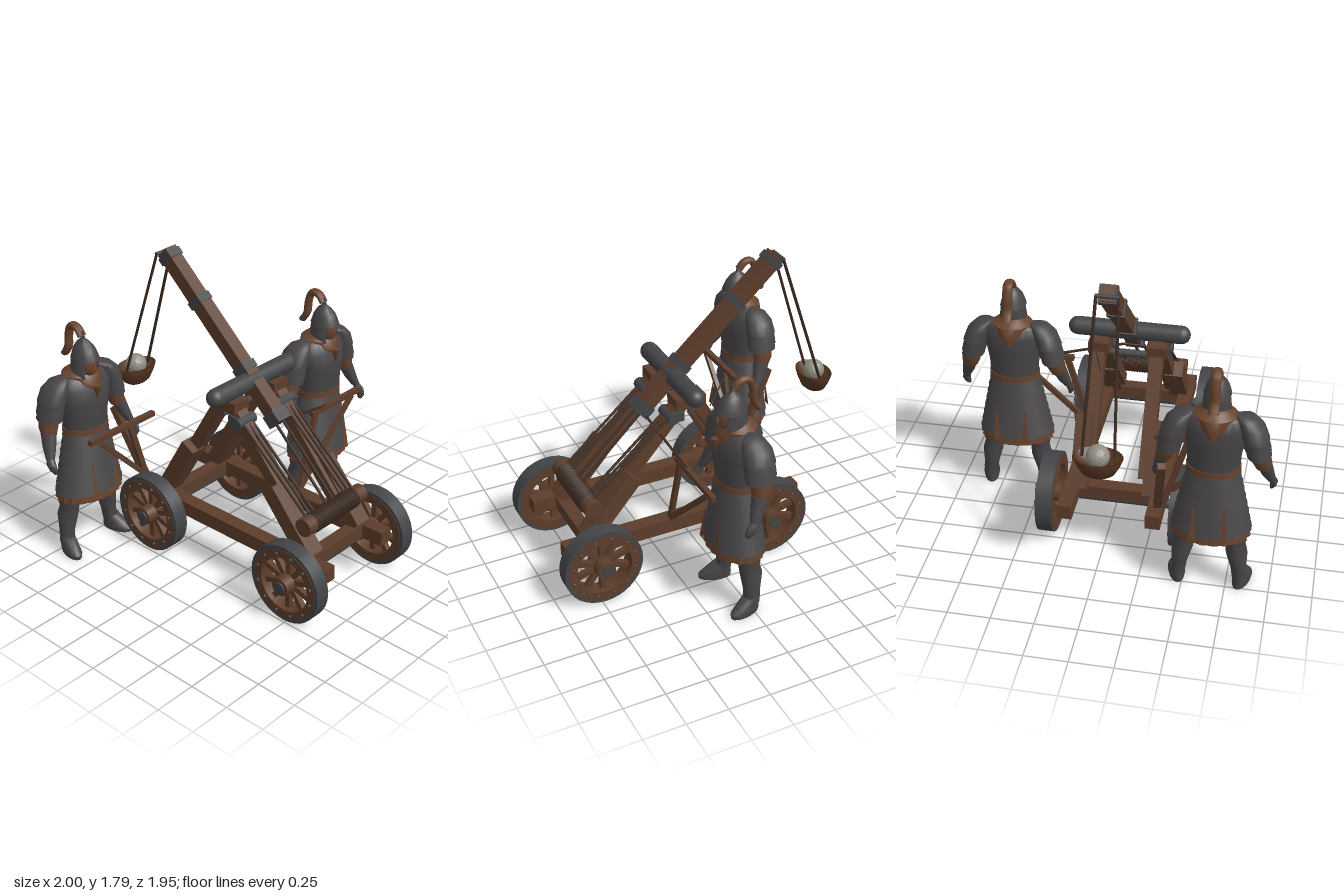
import * as THREE from 'three';
import { toCreasedNormals } from 'three/addons/utils/BufferGeometryUtils.js';

const mat = (name, color, side = THREE.FrontSide) => {
  const m = new THREE.MeshStandardMaterial({ color, side });
  m.name = name;
  return m;
};
const V = (p) => new THREE.Vector3(...p);

export function createModel() {
  const wood = mat('wood', 0x5c3d2b), rope = mat('rope', 0x3b2a20), iron = mat('iron', 0x434447);
  const armour = mat('armour', 0x474446, THREE.DoubleSide), leather = mat('leather', 0x68432d, THREE.DoubleSide);
  const skin = mat('skin', 0x6a4632), stone = mat('stone', 0x918f84), bowlWood = mat('bowl wood', 0x553522, THREE.DoubleSide);

  const add = (parent, name, geo, m, pos = [0, 0, 0]) => {
    const mesh = new THREE.Mesh(geo, m);
    mesh.name = name;
    mesh.position.set(...pos);
    parent.add(mesh);
    return mesh;
  };
  const group = (parent, name, pos = [0, 0, 0]) => {
    const g = new THREE.Group();
    g.name = name;
    g.position.set(...pos);
    parent.add(g);
    return g;
  };
  // square timber and round rod between two points
  const beam = (parent, name, a, b, w, h, m = wood) => {
    const mesh = new THREE.Mesh(new THREE.BoxGeometry(w, h, V(a).distanceTo(V(b))), m);
    mesh.name = name;
    mesh.position.copy(V(a).lerp(V(b), 0.5));
    mesh.lookAt(V(b));
    parent.add(mesh);
    return mesh;
  };
  const rod = (parent, name, a, b, r, m, sides = 8) => {
    const d = V(b).sub(V(a));
    const mesh = add(parent, name, new THREE.CylinderGeometry(r, r, d.length(), sides), m, V(a).lerp(V(b), 0.5).toArray());
    mesh.quaternion.setFromUnitVectors(new THREE.Vector3(0, 1, 0), d.normalize());
    return mesh;
  };
  // skin over horizontal elliptical rings [x, y, z, rx, rz], listed bottom to top
  const loft = (rings, sides = 20, ripple = 0) => {
    const pos = [], idx = [], n = rings.length;
    for (const [x, y, z, rx, rz] of rings)
      for (let j = 0; j < sides; j++) {
        const a = (j / sides) * Math.PI * 2, k = 1 + ripple * (j % 2 ? 1 : -1);
        pos.push(x + Math.cos(a) * rx * k, y, z + Math.sin(a) * rz * k);
      }
    for (let i = 0; i < n - 1; i++)
      for (let j = 0; j < sides; j++) {
        const p = i * sides + j, q = i * sides + ((j + 1) % sides);
        idx.push(p, p + sides, q, q, p + sides, q + sides);
      }
    for (const e of [0, n - 1]) {
      const c = pos.length / 3;
      pos.push(rings[e][0], rings[e][1], rings[e][2]);
      for (let j = 0; j < sides; j++) {
        const p = e * sides + j, q = e * sides + ((j + 1) % sides);
        e ? idx.push(c, q, p) : idx.push(c, p, q);
      }
    }
    const g = new THREE.BufferGeometry();
    g.setAttribute('position', new THREE.Float32BufferAttribute(pos, 3));
    g.setIndex(idx);
    return toCreasedNormals(g, 0.75);
  };
  // rectangular ring about y
  const ring = (r0, r1, h) => toCreasedNormals(new THREE.LatheGeometry(
    [[r0, -h], [r1, -h], [r1, h], [r0, h], [r0, -h]].map(([x, y]) => new THREE.Vector2(x, y)), 36), 0.6);

  const model = new THREE.Group();
  model.name = 'siegeEngine';
  const X = -0.045; // centre line of the engine

  // wheels: local y is the axle, pointing outwards
  for (const s of [-1, 1]) for (const z of [0.73, -0.36]) {
    const w = group(model, 'wheel', [X + s * 0.393, 0.242, z]);
    w.rotation.z = -s * Math.PI / 2;
    add(w, 'tyre', ring(0.205, 0.242, 0.047), iron);
    add(w, 'rim', ring(0.17, 0.222, 0.05), wood);
    add(w, 'hub', new THREE.CylinderGeometry(0.055, 0.062, 0.15, 16), wood, [0, 0.01, 0]);
    add(w, 'hubCap', new THREE.CylinderGeometry(0.035, 0.035, 0.17, 12), iron, [0, 0.01, 0]);
    for (let i = 0; i < 10; i++) {
      const a = (i / 10) * Math.PI * 2, c = Math.cos(a), d = Math.sin(a);
      beam(w, 'spoke', [c * 0.04, 0, d * 0.04], [c * 0.18, 0, d * 0.18], 0.032, 0.035);
    }
    for (let i = 0; i < 12; i++) {
      const a = (i / 12 + 0.04) * Math.PI * 2;
      add(w, 'stud', new THREE.SphereGeometry(0.01, 8, 6), iron, [Math.cos(a) * 0.197, 0.052, Math.sin(a) * 0.197]);
    }
  }

  // chassis
  const frame = group(model, 'frame');
  for (const z of [0.73, -0.36]) {
    rod(frame, 'axle', [X - 0.38, 0.242, z], [X + 0.38, 0.242, z], 0.028, iron, 14);
    beam(frame, 'crossBeam', [X - 0.24, 0.295, z], [X + 0.24, 0.295, z], 0.08, 0.08);
  }
  for (const s of [-1, 1]) {
    const x0 = X + s * 0.26, x1 = X + s * 0.215, x2 = X + s * 0.172;
    beam(frame, 'sideRail', [x0, 0.295, 0.91], [x0, 0.295, -0.62], 0.088, 0.09);
    beam(frame, 'frontStrutFoot', [x1, 0.33, 0.74], [x1, 0.67, 0.45], 0.11, 0.1);
    beam(frame, 'frontStrut', [x2, 0.4, 0.68], [x2, 1.1, 0.07], 0.08, 0.075);
    beam(frame, 'rearStrutFoot', [x1, 0.32, -0.4], [x1, 0.7, -0.18], 0.1, 0.1);
    beam(frame, 'rearStrut', [x2, 0.4, -0.35], [x2, 1.1, 0.06], 0.08, 0.075);
    beam(frame, 'headBlock', [x2, 1.06, 0.17], [x2, 1.06, -0.02], 0.12, 0.07);
    add(frame, 'bracket', new THREE.BoxGeometry(0.11, 0.06, 0.09), iron, [x2, 0.98, 0.16]);
    rod(frame, 'pulley', [x2 - 0.07, 0.98, 0.19], [x2 + 0.07, 0.98, 0.19], 0.035, iron, 12);
    for (const o of [-0.035, 0, 0.035])
      rod(frame, 'tackleRope', [x2 + o, 0.56, 0.69], [x2 + o, 0.99, 0.2], 0.009, rope, 6);
  }
  rod(frame, 'pivotRod', [X - 0.22, 1.0, 0.06], [X + 0.22, 1.0, 0.06], 0.022, iron, 12);

  // padded roller over the head
  const roll = add(model, 'roller', new THREE.CapsuleGeometry(0.055, 0.615, 6, 18), iron, [X + 0.005, 1.14, 0.09]);
  roll.rotation.z = Math.PI / 2;

  // winch
  const winch = group(model, 'winch');
  rod(winch, 'winchDrum', [X - 0.26, 0.52, 0.71], [X + 0.26, 0.52, 0.71], 0.055, wood, 18);
  for (let i = 0; i < 22; i++) {
    const coil = add(winch, 'ropeCoil', new THREE.TorusGeometry(0.054, 0.0085, 6, 18), rope, [X - 0.18 + i * 0.0171, 0.52, 0.71]);
    coil.rotation.y = Math.PI / 2;
  }
  for (const o of [-0.03, 0.03]) rod(winch, 'haulRope', [X + o, 0.56, 0.7], [X + o, 0.96, 0.29], 0.009, rope, 6);

  // throwing arm with its bands
  const arm = group(model, 'throwingArm');
  const along = (t) => [X + 0.003, 0.955 + t * 0.805, 0.3 - t * 0.88];
  beam(arm, 'armBeam', along(0), along(1), 0.085, 0.09);
  for (const t of [0.3, 0.7, 0.965]) beam(arm, 'armBand', along(t - 0.02), along(t + 0.02), 0.1, 0.105, iron);
  beam(arm, 'armCap', along(-0.015), along(0.05), 0.11, 0.1, iron);

  // sling, bowl and stone
  const sling = group(model, 'sling');
  for (const s of [-1, 1]) rod(sling, 'slingRope', [X + s * 0.06, 1.75, -0.6], [X + s * 0.09, 0.91, -0.87], 0.009, rope, 6);
  rod(sling, 'slingPin', [X - 0.065, 1.75, -0.6], [X + 0.065, 1.75, -0.6], 0.012, iron);
  const prof = [[0, 0], [0.05, 0.003], [0.068, 0.02], [0.088, 0.07], [0.1, 0.115], [0.092, 0.12], [0.08, 0.085], [0, 0.04]];
  const bowl = add(sling, 'bowl', new THREE.LatheGeometry(prof.map((p) => new THREE.Vector2(...p)), 24), bowlWood, [X, 0.803, -0.88]);
  bowl.scale.x = 1.4;
  const ball = add(sling, 'stoneBall', toCreasedNormals(new THREE.IcosahedronGeometry(0.066, 2), 0.1), stone, [X, 0.925, -0.88]);
  ball.rotation.set(0.3, 0.4, 0);

  // side supports and release lever
  const side = group(model, 'sideSupports');
  beam(side, 'leftRailing', [0.33, 0.815, 0.235], [0.79, 0.815, 0.235], 0.032, 0.03);
  beam(side, 'leftLongBrace', [0.72, 0.8, 0.235], [0.25, 0.35, 0.235], 0.025, 0.03);
  beam(side, 'leftShortBrace', [0.37, 0.8, 0.235], [0.23, 0.32, 0.235], 0.025, 0.035);
  beam(side, 'rightRailing', [-0.29, 0.815, -0.485], [-0.8, 0.815, -0.485], 0.032, 0.03);
  beam(side, 'rightLongBrace', [-0.73, 0.8, -0.485], [-0.3, 0.35, -0.485], 0.025, 0.03);
  beam(side, 'rightShortBrace', [-0.48, 0.8, -0.485], [-0.34, 0.32, -0.485], 0.025, 0.035);
  beam(side, 'rightRearBrace', [-0.37, 0.8, -0.74], [-0.32, 0.36, -0.53], 0.045, 0.04);
  rod(side, 'leverRod', [0, 0.93, 0.28], [0.48, 0.82, 0.235], 0.008, rope, 6);
  rod(side, 'spike', [0.1, 0.95, -0.09], [0.1, 1.15, -0.2], 0.004, iron, 5);

  // soldiers, facing +z
  const makeSoldier = (name, pos) => {
    const g = group(model, name, pos);
    const mix = THREE.MathUtils.lerp;
    // overlapping rows of the coat skirt
    const skirt = [], rows = 8;
    for (let i = 0; i < rows; i++) for (const e of [0, 1]) {
      const t = (i + e) / rows, k = e ? -0.003 : 0.005;
      skirt.push([0, mix(0.415, 0.82, t), 0.025, mix(0.225, 0.14, t) + k, mix(0.158, 0.105, t) + k]);
    }
    add(g, 'coatSkirt', loft(skirt, 28), armour);
    add(g, 'skirtTrim', loft([[0, 0.37, 0.025, 0.225, 0.16], [0, 0.43, 0.025, 0.219, 0.154]], 40, 0.02), leather);
    add(g, 'torso', loft([[0, 0.79, 0.025, 0.145, 0.108], [0, 0.9, 0.028, 0.15, 0.112], [0, 1.0, 0.03, 0.165, 0.122],
      [0, 1.09, 0.025, 0.18, 0.115], [0, 1.15, 0.015, 0.15, 0.09], [0, 1.18, 0.01, 0.07, 0.06]], 24), armour);
    add(g, 'belt', loft([[0, 0.795, 0.025, 0.152, 0.114], [0, 0.83, 0.025, 0.152, 0.114]], 24), leather);
    add(g, 'collar', loft([[0, 1.06, 0.02, 0.045, 0.125], [0, 1.11, 0.02, 0.1, 0.125], [0, 1.165, 0.015, 0.12, 0.105],
      [0, 1.19, 0.02, 0.075, 0.075], [0, 1.21, 0.03, 0.055, 0.055]], 20), leather);
    const knot = add(g, 'scarfTail', new THREE.ConeGeometry(0.026, 0.09, 6), leather, [0, 1.065, 0.15]);
    knot.rotation.x = Math.PI;
    add(g, 'head', loft([[0, 1.15, 0.06, 0.03, 0.04], [0, 1.18, 0.07, 0.05, 0.062], [0, 1.23, 0.07, 0.055, 0.07], [0, 1.29, 0.06, 0.054, 0.065]], 16), skin);
    add(g, 'nose', new THREE.ConeGeometry(0.012, 0.045, 4), skin, [0, 1.235, 0.14]);
    add(g, 'helmet', loft([[0, 1.262, 0.06, 0.077, 0.094], [0, 1.282, 0.06, 0.071, 0.087], [0, 1.32, 0.057, 0.06, 0.072],
      [0, 1.355, 0.053, 0.038, 0.046], [0, 1.378, 0.05, 0.014, 0.014], [0, 1.42, 0.05, 0.008, 0.008]], 18), armour);
    const guard = add(g, 'neckGuard', new THREE.CylinderGeometry(0.07, 0.084, 0.12, 18, 1, true, 0.75, Math.PI * 2 - 1.5), armour, [0, 1.215, 0.05]);
    guard.scale.z = 1.1;
    const curve = new THREE.CatmullRomCurve3([[0, 1.39, 0.045], [0, 1.43, 0.01], [0, 1.435, -0.04], [0, 1.37, -0.07], [0, 1.29, -0.08], [0, 1.235, -0.115]].map(V));
    add(g, 'plume', new THREE.TubeGeometry(curve, 20, 0.021, 8), leather).scale.x = 1.4;
    for (const s of [-1, 1]) {
      add(g, 'sleeve', loft([[s * 0.245, 0.935, 0, 0.068, 0.09], [s * 0.238, 0.97, 0, 0.066, 0.088], [s * 0.238, 0.97, 0, 0.072, 0.094],
        [s * 0.222, 1.04, 0, 0.07, 0.09], [s * 0.222, 1.04, 0, 0.075, 0.095], [s * 0.2, 1.11, 0.005, 0.07, 0.088],
        [s * 0.17, 1.155, 0.01, 0.055, 0.065], [s * 0.14, 1.172, 0.01, 0.03, 0.03]], 18), armour);
      add(g, 'elbow', loft([[s * 0.27, 0.845, 0.015, 0.042, 0.048], [s * 0.262, 0.89, 0.005, 0.055, 0.06], [s * 0.25, 0.95, 0, 0.056, 0.065]], 14), leather);
      add(g, 'forearm', loft([[s * 0.318, 0.725, 0.07, 0.024, 0.03], [s * 0.298, 0.78, 0.045, 0.036, 0.042], [s * 0.272, 0.87, 0.015, 0.046, 0.052]], 14), armour);
      add(g, 'hand', loft([[s * 0.318, 0.64, 0.11, 0.01, 0.014], [s * 0.328, 0.665, 0.105, 0.018, 0.03], [s * 0.328, 0.7, 0.09, 0.024, 0.036], [s * 0.318, 0.735, 0.07, 0.02, 0.025]], 10), armour);
      add(g, 'leg', loft([[s * 0.178, 0.06, 0.0, 0.042, 0.05], [s * 0.17, 0.14, -0.005, 0.045, 0.05], [s * 0.155, 0.25, -0.005, 0.062, 0.066],
        [s * 0.145, 0.31, 0.005, 0.056, 0.062], [s * 0.145, 0.33, 0.005, 0.063, 0.068], [s * 0.125, 0.45, 0.01, 0.07, 0.075]], 16), armour);
      const boot = add(g, 'boot', loft([[0, 0, 0.05, 0.045, 0.098], [0, 0.025, 0.05, 0.05, 0.1], [0, 0.055, 0.035, 0.046, 0.082], [0, 0.1, 0.005, 0.044, 0.052]], 16), armour, [s * 0.178, 0, 0]);
      boot.rotation.y = s * 0.25;
      // coat slit showing the lining
      for (const [z, turn] of [[0.192, 0], [-0.142, Math.PI]]) {
        const slit = new THREE.Shape([[-0.022, 0], [0.022, 0], [0, 0.24]].map((p) => new THREE.Vector2(...p)));
        const plate = add(g, 'coatSlit', new THREE.ShapeGeometry(slit), leather, [s * 0.085, 0.405, z]);
        plate.rotation.set(-0.13, turn, 0, 'YXZ');
      }
    }
  };
  makeSoldier('leftSoldier', [0.65, 0, 0.005]);
  makeSoldier('rightSoldier', [-0.65, 0, -0.715]);

  return model;
}
